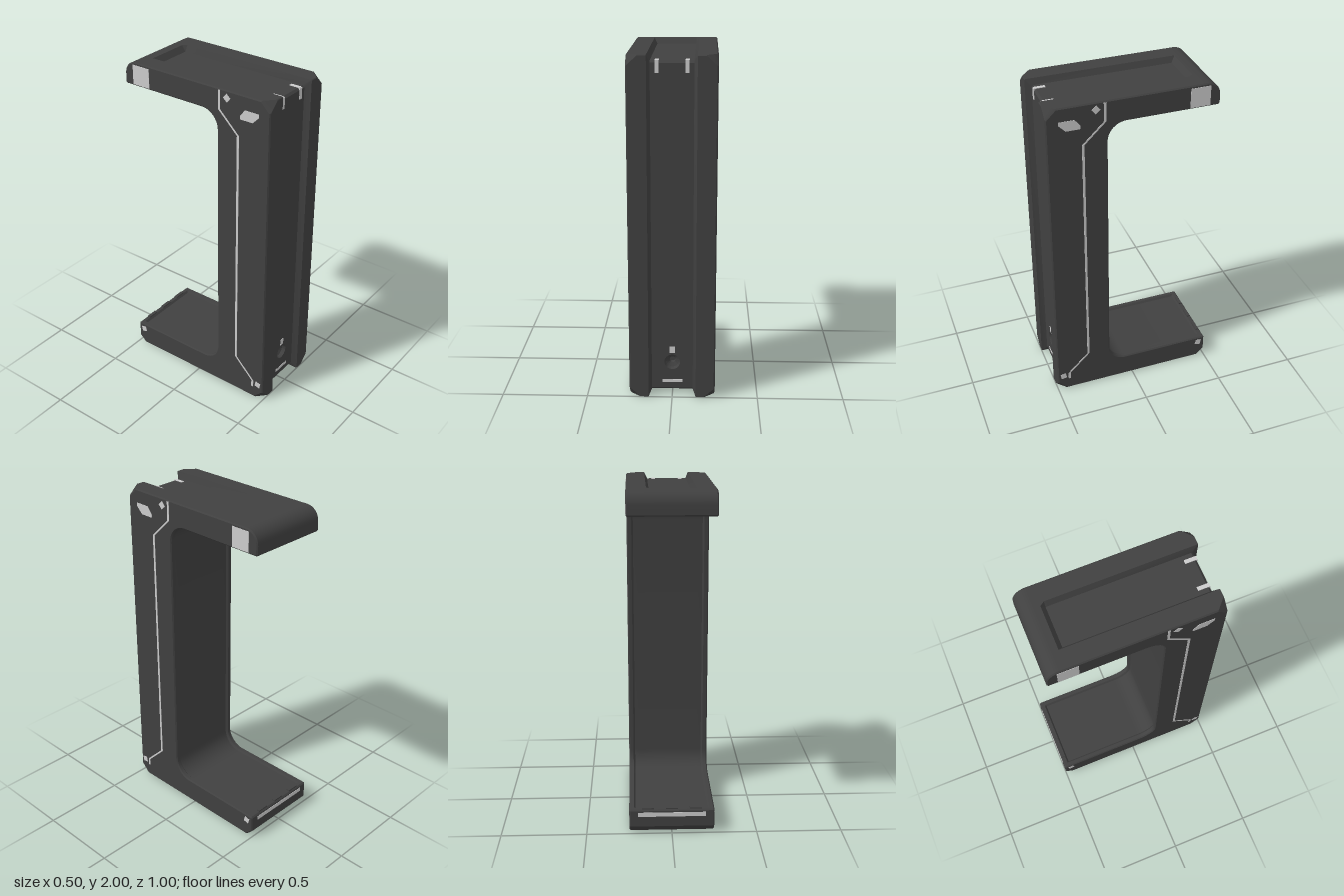
import * as THREE from 'three';
import { toCreasedNormals } from 'three/addons/utils/BufferGeometryUtils.js';

const dark = new THREE.MeshStandardMaterial({ color: 0x404040 });
const light = new THREE.MeshStandardMaterial({ color: 0xcccccc });
const DEPTH = 0.034, FLOOR = 0.5 - DEPTH, CHAMFER = 0.012;

// Points of an arc in the (z, y) plane
function arc(z, y, r, a0, a1, n = 10) {
  return Array.from({ length: n + 1 }, (_, i) => {
    const a = a0 + (a1 - a0) * i / n;
    return [z + r * Math.cos(a), y + r * Math.sin(a)];
  });
}

// C-shaped side profile: channel = outer groove, recess = inner panel, c = front corner cut, e = edge bevel
function profile(channel, recess, c, e) {
  const d = DEPTH * channel, F = 0.5 - d, B = d, T = 2 - d, r = 0.012 * recess, h = Math.PI / 2;
  const p = [
    [F, B + c], [F - c, B], [-0.36, B], [-0.385, 0],
    [-0.455, 0], [-0.5, 0.045], [-0.5, 0.142], [-0.492, 0.15],
    [-0.472, 0.15], [-0.462, 0.15 - r],
    ...arc(0.045, 0.26, 0.11 + r, -h, 0),
    ...arc(0.045, 1.75, 0.11 + r, 0, h),
    [-0.462, 1.86 + r], [-0.472, 1.86], [-0.492, 1.86], [-0.5, 1.868],
    ...arc(-0.42, 1.92, 0.08, 2 * h, h),
    [-0.385, 2], [-0.36, T], [F - c, T], [F, T - c],
  ];
  return p.map(([z, y], i) => {
    const a = p[(i + p.length - 1) % p.length], b = p[(i + 1) % p.length];
    const tz = b[0] - a[0], ty = b[1] - a[1], l = Math.hypot(tz, ty);
    return [z + e * ty / l, y - e * tz / l];
  });
}

// Body lofted across the width from profiles
function bodyGeometry() {
  const half = [ // x, channel, recess, corner cut, bevel
    [0.25, 0, 0, 0.06, 0.007], [0.243, 0, 0, 0.055, 0], [0.222, 0, 0, 0.036, 0],
    [0.212, 0, 1, 0.026, 0], [0.187, 0, 1, 0.004, 0],
    [0.138, 0, 1, 0.004, 0], [0.12, 1, 1, CHAMFER, 0],
  ];
  const rows = [...half.map(([x, ...s]) => [-x, ...s]), ...half.slice().reverse()];
  const rings = rows.map(([x, ...s]) => profile(...s).map(([z, y]) => [x, y, z]));
  const n = rings[0].length, out = [];
  const tri = (a, b, c) => out.push(...a, ...b, ...c);
  for (let k = 0; k < rings.length - 1; k++) {
    for (let j = 0; j < n; j++) {
      if (k === half.length - 1 && j === n - 1) continue; // left open for the front panel
      const i = (j + 1) % n, A = rings[k], B = rings[k + 1];
      tri(A[j], A[i], B[i]);
      tri(A[j], B[i], B[j]);
    }
  }
  const first = rings[0], last = rings[rings.length - 1];
  const contour = first.map(([, y, z]) => new THREE.Vector2(z, y));
  for (const [a, b, c] of THREE.ShapeUtils.triangulateShape(contour, [])) {
    tri(first[a], first[b], first[c]);
    tri(last[c], last[b], last[a]);
  }
  const g = new THREE.BufferGeometry();
  g.setAttribute('position', new THREE.Float32BufferAttribute(out, 3));
  return toCreasedNormals(g, 0.4);
}

export function createModel() {
  const model = new THREE.Group();
  const add = (name, geometry, material, x = 0, y = 0, z = 0) => {
    const m = new THREE.Mesh(geometry, material);
    m.name = name;
    m.position.set(x, y, z);
    model.add(m);
    return m;
  };
  const box = (name, mat, w, h, d, x, y, z) => add(name, new THREE.BoxGeometry(w, h, d), mat, x, y, z);

  add('body', bodyGeometry(), dark);

  // Front panel with a socket hole
  const y0 = DEPTH + CHAMFER, y1 = 2 - y0, socketY = 0.21;
  const panel = new THREE.Shape([[-0.12, y0], [0.12, y0], [0.12, y1], [-0.12, y1]]
    .map(([x, y]) => new THREE.Vector2(x, y)));
  panel.holes.push(new THREE.Path().absarc(0, socketY, 0.046, 0, Math.PI * 2, true));
  add('frontPanel', new THREE.ShapeGeometry(panel, 24), dark, 0, 0, FLOOR);
  const socketProfile = [[0, -0.06], [0.018, -0.06], [0.018, -0.035], [0.04, -0.022], [0.046, 0]]
    .map(([x, y]) => new THREE.Vector2(x, y));
  const socketMaterial = dark.clone();
  socketMaterial.side = THREE.DoubleSide;
  const socket = add('socket', toCreasedNormals(new THREE.LatheGeometry(socketProfile, 48), 0.4),
    socketMaterial, 0, socketY, FLOOR);
  socket.rotation.x = Math.PI / 2;

  // Front marks, and clips folded over the top edge of the channel
  box('socketMark', light, 0.03, 0.042, 0.004, 0, 0.288, FLOOR);
  box('frontBar', light, 0.118, 0.018, 0.004, 0, 0.09, FLOOR);
  for (const s of [-1, 1]) {
    box('clipFront', light, 0.022, 0.066, 0.006, s * 0.083, 1.933, FLOOR);
    box('clipTop', light, 0.022, 0.006, 0.064, s * 0.083, 2 - DEPTH, 0.432);
  }

  // Rear bar and grip tabs on the lower lip
  box('rearBar', light, 0.4, 0.026, 0.004, 0, 0.12, -0.5);
  for (const x of [-0.14, 0, 0.14]) box('lipTab', dark, 0.07, 0.012, 0.02, x, 0.151, -0.482);

  // Thin inlays on both sides, outlined in (z, y)
  const line = [[0.17, 1.992], [0.17, 1.88], [0.296, 1.758], [0.296, 0.255], [0.424, 0.125], [0.424, 0.08]];
  const square = (z, y, r, a) => [0, 1, 2, 3].map(i => {
    const t = a + i * Math.PI / 2;
    return [z + r * Math.cos(t), y + r * Math.sin(t)];
  });
  const inlays = {
    sideLine: [...line.map(([z, y]) => [z + 0.007, y]), ...line.map(([z, y]) => [z - 0.007, y]).reverse()],
    upperBadge: [[0.43, 1.92], [0.34, 1.92], [0.308, 1.88], [0.308, 1.86], [0.39, 1.86], [0.43, 1.9]],
    upperDiamond: square(0.22, 1.957, 0.025, 0.08),
    armBlock: [[-0.322, 1.985], [-0.44, 1.985], [-0.44, 1.868], [-0.322, 1.868]],
    lowerFrontMark: square(0.463, 0.108, 0.025, Math.PI / 4 - 0.2),
    lowerRearMark: square(-0.458, 0.112, 0.025, Math.PI / 4 + 0.25),
  };
  for (const s of [-1, 1]) {
    for (const [name, outline] of Object.entries(inlays)) {
      const shape = new THREE.Shape(outline.map(([z, y]) => new THREE.Vector2(-s * z, y)));
      const g = new THREE.ExtrudeGeometry(shape, { depth: 0.004, bevelEnabled: false });
      add(name, g, light, s * 0.248).rotation.y = s * Math.PI / 2;
    }
  }
  return model;
}
